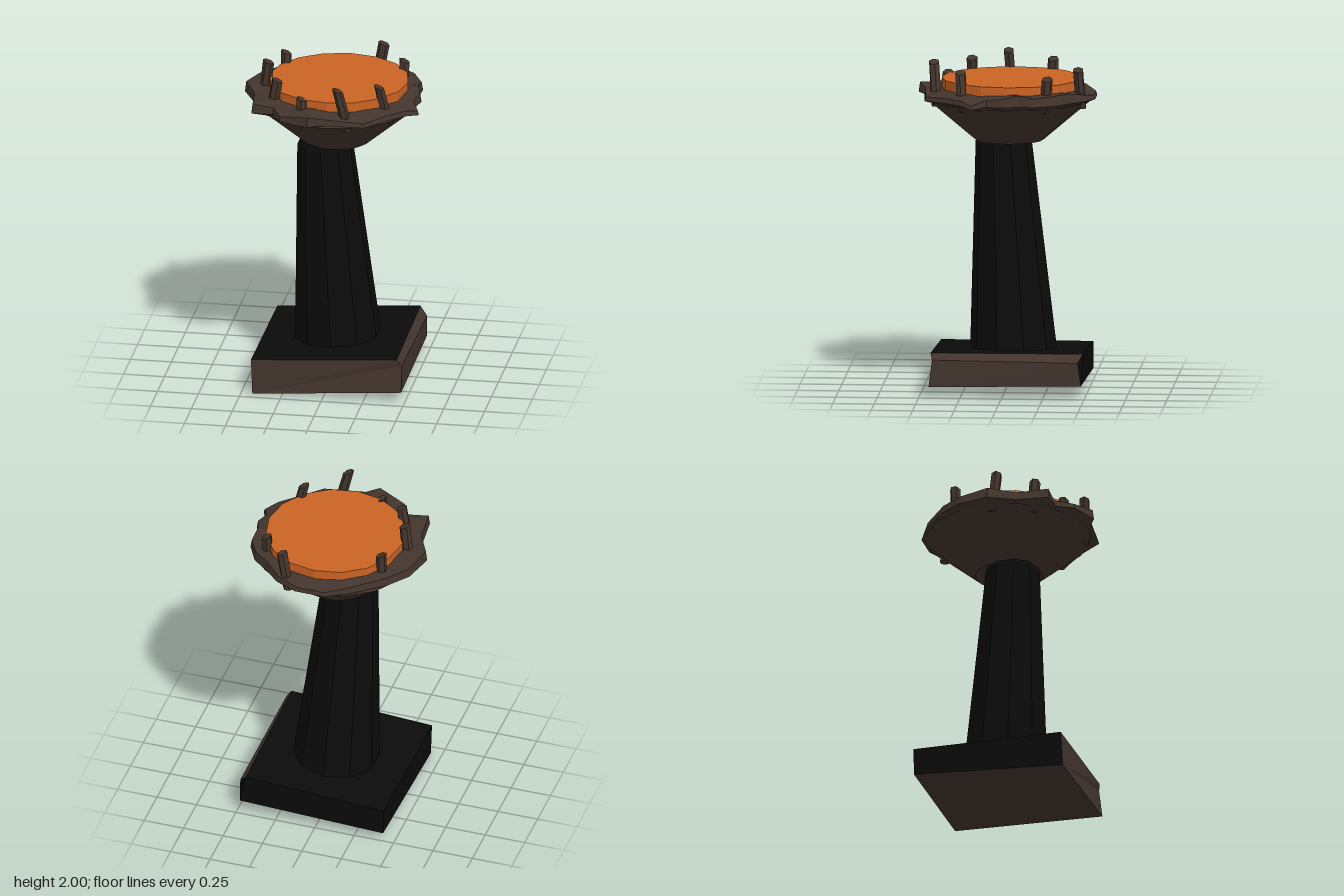
import * as THREE from 'three';

const mat = (name, color, extra = {}) => {
  const m = new THREE.MeshStandardMaterial({ color, flatShading: true, ...extra });
  m.name = name;
  return m;
};

// Ring of points; direction runs x+ to z+
const ring = (cx, y, cz, r, n, turn = 0) =>
  Array.from({ length: n }, (_, i) => {
    const a = ((i + turn) / n) * Math.PI * 2;
    return [cx + r * Math.cos(a), y, cz + r * Math.sin(a)];
  });

// Surface through rings listed from bottom to top
function loft(rings) {
  const pos = [];
  for (let k = 0; k < rings.length - 1; k++) {
    const a = rings[k], b = rings[k + 1], n = a.length;
    for (let i = 0; i < n; i++) {
      const j = (i + 1) % n;
      pos.push(...a[i], ...b[i], ...b[j], ...a[i], ...b[j], ...a[j]);
    }
  }
  return toGeometry(pos);
}

// Flat polygons, corners counter-clockwise from outside
function polygons(list) {
  const pos = [];
  for (const p of list)
    for (let i = 1; i < p.length - 1; i++) pos.push(...p[0], ...p[i], ...p[i + 1]);
  return toGeometry(pos);
}

function toGeometry(pos) {
  const g = new THREE.BufferGeometry();
  g.setAttribute('position', new THREE.Float32BufferAttribute(pos, 3));
  g.computeVertexNormals();
  return g;
}

export function createModel() {
  const model = new THREE.Group();
  model.name = 'brazier';
  const black = mat('black stone', 0x0b0b0b);
  const brown = mat('brown metal', 0x43352d);
  const orange = mat('orange embers', 0xcc6424);
  const add = (name, geometry, material, parent = model) => {
    const mesh = new THREE.Mesh(geometry, material);
    mesh.name = name;
    parent.add(mesh);
    return mesh;
  };

  // Tilted plinth with a chipped edge on one side
  const flb = [-0.43, 0, 0.44], frb = [0.48, 0.065, 0.44];
  const brb = [0.48, 0.08, -0.48], blb = [-0.43, 0.05, -0.49];
  const flt = [-0.44, 0.215, 0.43], frt = [0.45, 0.27, 0.43];
  const brt = [0.44, 0.27, -0.49], blt = [-0.435, 0.215, -0.49];
  const frs = [0.48, 0.23, 0.42], brs = [0.485, 0.22, -0.46];
  const plinth = new THREE.Group();
  plinth.name = 'plinth';
  model.add(plinth);
  add('plinthBrownFaces', polygons([
    [flb, frb, frs, frt, flt],
    [frb, brb, brs, frs],
    [frs, brs, brt, frt],
    [flb, blb, brb, frb],
  ]), brown, plinth);
  add('plinthBlackFaces', polygons([
    [flt, frt, brt, blt],
    [brb, blb, blt, brt, brs],
    [blb, flb, flt, blt],
  ]), black, plinth);

  // Leaning tapered column
  add('column', loft([
    ring(0.015, 0.2, -0.042, 0.265, 10, 0.5),
    ring(-0.055, 1.49, 0.024, 0.17, 10, 0.5),
    ring(-0.053, 1.515, 0.024, 0.158, 10, 0.5),
    ring(-0.053, 1.515, 0.024, 0, 10, 0.5),
  ]), black);

  // Flared bowl
  const bowl = add('bowl', new THREE.CylinderGeometry(0.5, 0.205, 0.25, 16), brown);
  bowl.position.set(0.01, 1.635, -0.015);

  // Jagged rim: x, z and top height of each point
  const outline = [
    [-0.07, -0.54, 1.80], [0.11, -0.54, 1.80], [0.24, -0.49, 1.82], [0.34, -0.40, 1.84],
    [0.44, -0.32, 1.84], [0.505, -0.20, 1.83], [0.50, -0.10, 1.85], [0.53, 0, 1.83],
    [0.505, 0.09, 1.82], [0.545, 0.18, 1.79], [0.48, 0.25, 1.81], [0.375, 0.35, 1.81],
    [0.26, 0.48, 1.80], [0, 0.50, 1.82], [-0.08, 0.54, 1.84], [-0.26, 0.47, 1.81],
    [-0.32, 0.36, 1.82], [-0.45, 0.36, 1.84], [-0.47, 0.16, 1.83], [-0.55, 0, 1.845],
    [-0.50, -0.19, 1.83], [-0.40, -0.32, 1.83], [-0.21, -0.47, 1.82],
  ];
  const around = (r, y) => outline.map(([x, z]) => {
    const a = Math.atan2(z + 0.03, x - 0.02);
    return [0.02 + r * Math.cos(a), y, -0.03 + r * Math.sin(a)];
  });
  add('rim', loft([
    around(0.43, 1.74),
    outline.map(([x, z, y]) => [x, Math.min(1.78, y - 0.025), z]),
    outline.map(([x, z, y]) => [x * 0.985, y, z * 0.985]),
    around(0.38, 1.842),
  ]), brown);

  // Ember disc
  const embers = add('embers', new THREE.CylinderGeometry(0.423, 0.423, 0.06, 16), orange);
  embers.position.set(0.02, 1.86, -0.03);
  embers.rotation.y = Math.PI / 16 * 2;

  // Leaning six-sided prongs: base x, z, then top x, height, z
  const prongs = [
    [0.18, -0.46, 0.225, 1.97, -0.445], [0.375, -0.255, 0.38, 1.935, -0.27],
    [-0.34, -0.245, -0.342, 1.95, -0.255], [-0.435, 0, -0.402, 1.99, 0.02],
    [-0.35, 0.23, -0.312, 1.955, 0.235], [-0.135, 0.39, -0.14, 1.895, 0.365],
    [0.15, 0.415, 0.09, 1.99, 0.435], [0.365, 0.24, 0.315, 1.96, 0.26],
  ];
  prongs.forEach(([bx, bz, tx, ty, tz], i) => {
    const top = ring(tx, ty, tz, 0.033, 6, 0.3 * i).map(([x, y, z]) => [x, y - (x - tx) * 0.4, z]);
    add('prong' + (i + 1), loft([
      ring(bx, 1.73, bz, 0, 6),
      ring(bx, 1.73, bz, 0.033, 6, 0.3 * i),
      top,
      ring(tx, ty, tz, 0, 6),
    ]), brown);
  });
  return model;
}
